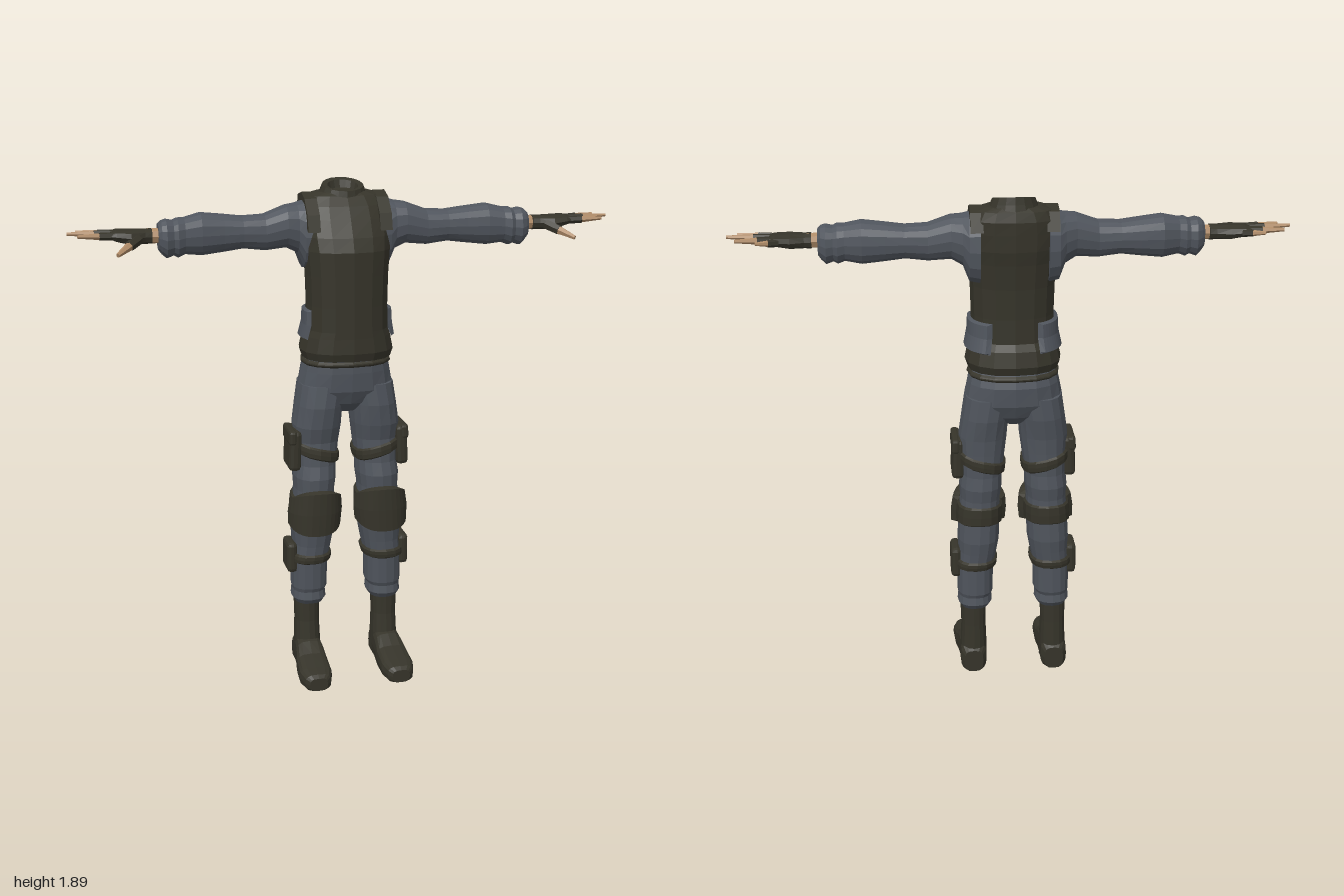
import * as THREE from 'three';
import { RoundedBoxGeometry } from 'three/addons/geometries/RoundedBoxGeometry.js';

const N = 16;

// One point of a rounded cross-section [height, cx, cz, rx, rz]; angle 0 faces +z, 90 degrees faces +x
function ringPoint([y, cx, cz, rx, rz], a, off = 0, e = 2.4) {
  const p = v => Math.sign(v) * Math.pow(Math.abs(v), 2 / e);
  return [cx + p(Math.sin(a)) * (rx + off), y, cz + p(Math.cos(a)) * (rz + off)];
}

// Skin a stack of point rows; optionally closed with end caps
function skin(rows, caps) {
  const n = rows[0].length, pos = rows.flat(2), idx = [];
  for (let i = 0; i < rows.length - 1; i++) for (let j = 0; j < n - 1; j++) {
    const a = i * n + j, b = a + 1, c = b + n, d = a + n;
    idx.push(a, b, c, a, c, d);
  }
  if (caps) for (let j = 1; j < n - 2; j++) {
    const t = (rows.length - 1) * n;
    idx.push(0, j + 1, j, t, t + j, t + j + 1);
  }
  const g = new THREE.BufferGeometry();
  g.setAttribute('position', new THREE.Float32BufferAttribute(pos, 3));
  g.setIndex(idx);
  return g;
}

function loft(sections, { e = 2.4, n = N, tilt = 0 } = {}) {
  return skin(sections.map(s => Array.from({ length: n + 1 }, (_, j) => {
    const p = ringPoint(s, (j / n) * Math.PI * 2, 0, e);
    p[1] += tilt * (p[2] - s[2]);
    return p;
  })), true);
}

// Interpolated section of a loft at a height (sections run upward)
function sectionAt(sections, y) {
  let i = 0;
  while (i < sections.length - 2 && sections[i + 1][0] < y) i++;
  const a = sections[i], b = sections[i + 1];
  const t = THREE.MathUtils.clamp((y - a[0]) / (b[0] - a[0]), 0, 1);
  return a.map((v, k) => (k ? v + (b[k] - v) * t : y));
}

// Raised band that follows a loft, full circle or an arc in degrees
function band(sections, y0, y1, off, { from = 0, to = 360, tilt = 0, lift = 0, pinch = 0 } = {}) {
  const arc = to - from < 360, mid = (y0 + y1) / 2;
  const rows = [[y0, 0], [y0 + 0.006, 1], [mid, 1.15], [y1 - 0.006, 1], [y1, 0]];
  return skin(rows.map(([y, k]) => Array.from({ length: N + 1 }, (_, j) => {
    const a = THREE.MathUtils.degToRad(from + ((to - from) * j) / N);
    const u = (2 * j) / N - 1, end = arc && Math.abs(u) === 1;
    const h = mid + (y - mid) * (1 - pinch * u * u) + tilt * Math.sin(a) + lift * Math.cos(a);
    return ringPoint(sectionAt(sections, h), a, end ? 0.001 : off * k + 0.001);
  })));
}

// Tapered rod between two points
function rod(p, q, r0, r1, sides = 6) {
  const a = new THREE.Vector3(...p), b = new THREE.Vector3(...q), d = b.clone().sub(a);
  const g = new THREE.CylinderGeometry(r1, r0, d.length(), sides);
  g.applyQuaternion(new THREE.Quaternion().setFromUnitVectors(new THREE.Vector3(0, 1, 0), d.normalize()));
  return g.translate(...a.add(b).multiplyScalar(0.5).toArray());
}

// Flat-faced copy, mirrored across x when asked
function finish(geo, flip) {
  const g = geo.index ? geo.toNonIndexed() : geo.clone();
  for (const k of Object.keys(g.attributes)) if (k !== 'position') g.deleteAttribute(k);
  g.clearGroups();
  if (flip) {
    g.scale(-1, 1, 1);
    const p = g.attributes.position.array;
    for (let i = 0; i < p.length; i += 9) for (let k = 3; k < 6; k++) [p[i + k], p[i + k + 3]] = [p[i + k + 3], p[i + k]];
  }
  g.computeVertexNormals();
  return g;
}

export function createModel() {
  const model = new THREE.Group();
  model.name = 'tacticalOutfit';
  const material = (name, color) => {
    const m = new THREE.MeshStandardMaterial({ color, flatShading: true, side: THREE.DoubleSide });
    m.name = name;
    return m;
  };
  const olive = material('darkOlive', 0x36342a);
  const cloth = material('greyCloth', 0x50555d);
  const tan = material('skin', 0xb08c68);

  const add = (name, geo, mat, flip = false) => {
    const m = new THREE.Mesh(finish(geo, flip), mat);
    m.name = name;
    model.add(m);
  };
  const pair = (name, geo, mat) => {
    add('left' + name, geo, mat);
    add('right' + name, geo, mat, true);
  };

  // Vest, with flared hem
  const vest = [
    [1.25, 0, -0.05, 0.165, 0.138], [1.28, 0, -0.05, 0.175, 0.148], [1.335, 0, -0.045, 0.163, 0.14],
    [1.36, 0, -0.037, 0.152, 0.132], [1.45, 0, -0.036, 0.15, 0.13], [1.56, 0, -0.038, 0.153, 0.132],
    [1.65, 0, -0.043, 0.16, 0.137], [1.7, 0, -0.057, 0.165, 0.132], [1.76, 0, -0.075, 0.165, 0.115],
    [1.805, 0, -0.09, 0.16, 0.1], [1.838, 0, -0.1, 0.14, 0.08], [1.85, 0, -0.1, 0.1, 0.065]];
  add('vest', loft(vest), olive);

  // Open collar, higher at the back
  add('collar', loft([[1.81, 0, -0.095, 0.1, 0.085], [1.845, 0, -0.092, 0.087, 0.078], [1.873, 0, -0.092, 0.075, 0.072],
    [1.87, 0, -0.092, 0.057, 0.054], [1.845, 0, -0.092, 0.05, 0.045]], { tilt: -0.24, e: 2 }), olive);

  // Shoulder straps
  const strap = new THREE.Shape([[0.04, 1.72], [0.022, 1.78], [-0.03, 1.832], [-0.09, 1.85], [-0.15, 1.835], [-0.18, 1.77]]
    .map(p => new THREE.Vector2(...p)));
  pair('ShoulderStrap', new THREE.ExtrudeGeometry(strap, { depth: 0.045, bevelEnabled: false })
    .rotateY(-Math.PI / 2).translate(0.155, 0, 0), olive);

  // Cloth panels at the waist
  pair('WaistPanel', band(vest, 1.325, 1.435, 0.012, { from: 68, to: 152 }), cloth);

  // Trouser seat and belt
  const seat = [[1.04, 0, -0.065, 0.04, 0.06], [1.08, 0, -0.065, 0.12, 0.105], [1.13, 0, -0.065, 0.182, 0.128],
    [1.2, 0, -0.064, 0.168, 0.134], [1.26, 0, -0.055, 0.155, 0.125]];
  add('trouserSeat', loft(seat), cloth);
  add('belt', band(seat, 1.225, 1.245, 0.006), olive);

  // Trouser legs
  const leg = [[0.28, 0.148, -0.06, 0.054, 0.066], [0.3, 0.148, -0.06, 0.066, 0.08], [0.33, 0.148, -0.06, 0.063, 0.076],
    [0.345, 0.146, -0.06, 0.068, 0.082], [0.45, 0.145, -0.058, 0.069, 0.086], [0.52, 0.135, -0.06, 0.073, 0.094],
    [0.57, 0.132, -0.06, 0.079, 0.102], [0.65, 0.128, -0.06, 0.078, 0.1], [0.74, 0.124, -0.058, 0.075, 0.102],
    [0.79, 0.122, -0.06, 0.08, 0.108], [0.84, 0.118, -0.063, 0.077, 0.1], [0.93, 0.114, -0.066, 0.084, 0.1],
    [0.99, 0.112, -0.06, 0.09, 0.11], [1.07, 0.103, -0.062, 0.087, 0.122], [1.15, 0.09, -0.065, 0.088, 0.12]];
  pair('TrouserLeg', loft(leg), cloth);

  // Straps, knee pads and pouches
  pair('ThighStrap', band(leg, 0.865, 0.91, 0.008, { tilt: 0.025 }), olive);
  pair('KneeStrap', band(leg, 0.635, 0.71, 0.008, { lift: -0.01 }), olive);
  pair('KneePad', band(leg, 0.57, 0.75, 0.026, { from: -85, to: 85, pinch: 0.55 }), olive);
  pair('ShinStrap', band(leg, 0.45, 0.487, 0.009), olive);
  pair('ThighPouch', new RoundedBoxGeometry(0.045, 0.155, 0.14, 1, 0.015).rotateZ(0.04).translate(0.205, 0.9, -0.05), olive);
  pair('ThighPouchFlap', new RoundedBoxGeometry(0.03, 0.055, 0.146, 1, 0.01).rotateZ(0.04).translate(0.214, 0.952, -0.05), olive);
  pair('ShinPouch', new RoundedBoxGeometry(0.04, 0.12, 0.11, 1, 0.015).translate(0.218, 0.47, -0.055), olive);

  // Boots: shaft, then foot lofted from heel to toe
  pair('BootShaft', loft([[0.04, 0.155, -0.065, 0.052, 0.058], [0.12, 0.154, -0.06, 0.05, 0.06],
    [0.2, 0.154, -0.063, 0.047, 0.054], [0.3, 0.154, -0.063, 0.05, 0.052]]), olive);
  pair('BootFoot', loft([[-0.127, 0.156, -0.05, 0.036, 0.045], [-0.105, 0.156, -0.058, 0.05, 0.058],
    [-0.03, 0.156, -0.068, 0.052, 0.068], [0.01, 0.157, -0.063, 0.055, 0.063], [0.06, 0.159, -0.048, 0.061, 0.048],
    [0.14, 0.161, -0.038, 0.063, 0.038], [0.185, 0.161, -0.033, 0.05, 0.033], [0.2, 0.161, -0.03, 0.034, 0.025]],
  { e: 3.2 }).rotateX(Math.PI / 2), olive);

  // Sleeves, sections [x, -y, z, half height, half depth]
  pair('Sleeve', loft([[0.12, -1.7, -0.08, 0.13, 0.105], [0.158, -1.7, -0.08, 0.122, 0.098], [0.18, -1.725, -0.075, 0.09, 0.085],
    [0.22, -1.733, -0.065, 0.077, 0.075], [0.3, -1.715, -0.058, 0.066, 0.063], [0.38, -1.718, -0.058, 0.059, 0.063],
    [0.45, -1.718, -0.056, 0.068, 0.066], [0.53, -1.718, -0.052, 0.077, 0.071], [0.59, -1.715, -0.04, 0.066, 0.06],
    [0.615, -1.71, -0.037, 0.071, 0.065], [0.63, -1.71, -0.037, 0.063, 0.058], [0.655, -1.708, -0.035, 0.07, 0.065],
    [0.672, -1.713, -0.033, 0.06, 0.055], [0.683, -1.715, -0.032, 0.047, 0.046]]).rotateZ(-Math.PI / 2), cloth);

  // Wrists and gloved palms
  pair('Wrist', rod([0.66, 1.72, -0.03], [0.72, 1.72, -0.03], 0.028, 0.026, 8), tan);
  pair('GlovePalm', loft([[0.705, -1.72, -0.03, 0.027, 0.033], [0.73, -1.72, -0.028, 0.026, 0.036], [0.78, -1.72, -0.024, 0.027, 0.054],
    [0.83, -1.726, -0.032, 0.021, 0.056], [0.85, -1.728, -0.034, 0.014, 0.05]], { n: 10 }).rotateZ(-Math.PI / 2), olive);

  // Half-gloved fingers and thumbs: base, tip, radius
  const fingers = [
    ['LittleFinger', [0.82, 1.724, -0.075], [0.895, 1.73, -0.105], 0.011],
    ['RingFinger', [0.83, 1.728, -0.055], [0.967, 1.735, -0.082], 0.012],
    ['MiddleFinger', [0.83, 1.73, -0.026], [1.0, 1.737, -0.028], 0.012],
    ['IndexFinger', [0.83, 1.727, 0.0], [0.965, 1.733, 0.02], 0.012],
    ['Thumb', [0.755, 1.715, 0.005], [0.835, 1.675, 0.09], 0.016]];
  for (const [name, base, tip, r] of fingers) {
    const mid = base.map((v, i) => v + (tip[i] - v) * 0.45);
    pair(name + 'Glove', rod(base, mid, r * 1.25, r * 1.15), olive);
    pair(name, rod(mid, tip, r, r * 0.5), tan);
  }
  return model;
}
